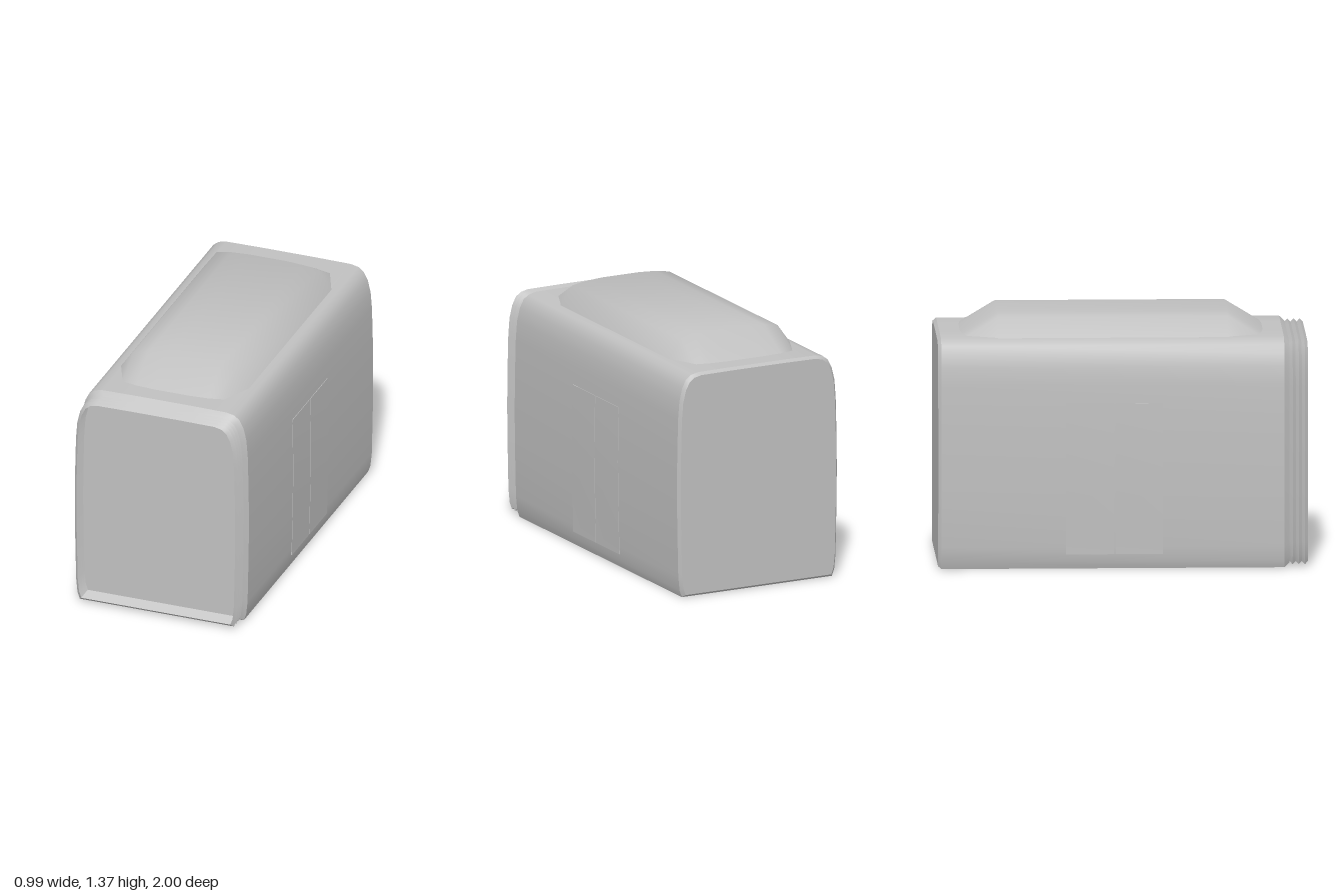
import * as THREE from 'three';
import { toCreasedNormals } from 'three/addons/utils/BufferGeometryUtils.js';

const grey = new THREE.MeshStandardMaterial({ color: 0xc0c0c0, side: THREE.DoubleSide });
grey.name = 'grey shell';

// Right half of the carriage cross-section, floor to roof
const half = [
  [0.46, 0], [0.474, 0.04], [0.482, 0.12], [0.488, 0.4], [0.49, 0.6], [0.488, 0.8], [0.483, 1.0],
  [0.475, 1.1], [0.458, 1.17], [0.435, 1.215], [0.405, 1.238], [0.36, 1.248], [0.15, 1.25],
];
const mirrored = (pts) => [...pts, ...pts.map(([x, y]) => [-x, y]).reverse()];
const outline = mirrored(half);

// Shrinks the outline towards its centre by a distance d
const inset = (d) => outline.map(([x, y]) => [x * (1 - d / 0.49), 0.625 + (y - 0.625) * (1 - d / 0.625)]);

// Skins a list of { z, pts } sections, ordered from back to front
function loft(sections, closed, crease) {
  const n = sections[0].pts.length;
  const pos = sections.flatMap(({ z, pts }) => pts.flatMap(([x, y]) => [x, y, z]));
  const index = [];
  for (let s = 0; s < sections.length - 1; s++) {
    for (let i = 0; i < (closed ? n : n - 1); i++) {
      const a = s * n + i, b = s * n + ((i + 1) % n);
      index.push(a, b, b + n, a, b + n, a + n);
    }
  }
  const g = new THREE.BufferGeometry();
  g.setAttribute('position', new THREE.Float32BufferAttribute(pos, 3));
  g.setIndex(index);
  return toCreasedNormals(g, crease);
}

export function createModel() {
  const group = new THREE.Group();
  const add = (name, geometry) => {
    const mesh = new THREE.Mesh(geometry, grey);
    mesh.name = name;
    group.add(mesh);
    return mesh;
  };

  // Long shell with small bevels at both ends
  const ends = [[-1, 0.014], [-0.982, 0], [0.872, 0], [0.9, 0.024]];
  add('carriageShell', loft(ends.map(([z, d]) => ({ z, pts: inset(d) })), true, 0.6));

  // Flat end walls
  const wall = (d) => new THREE.ShapeGeometry(new THREE.Shape(inset(d).map(([x, y]) => new THREE.Vector2(x, y))));
  add('frontWall', wall(0.024)).position.z = 0.9;
  const back = add('backWall', wall(0.014).rotateY(Math.PI));
  back.position.z = -1;

  // Open pleated gangway in front of the front wall
  const pleats = [];
  for (let i = 0; i <= 6; i++) pleats.push({ z: 0.9 + i / 60, pts: inset(i % 2 ? 0.014 : 0.03) });
  add('gangwayBellows', loft(pleats, true, 0.3));

  // Raised roof housing; its sloping ends sink into the roof
  const roof = mirrored([[0.41, 1.19], [0.295, 1.35], [0.21, 1.364], [0.11, 1.37]]);
  const lowered = (drop) => roof.map(([x, y]) => [x, y - drop]);
  add('roofHousing', loft([
    { z: -0.95, pts: lowered(0.168) },
    { z: -0.67, pts: roof },
    { z: 0.57, pts: roof },
    { z: 0.845, pts: lowered(0.168) },
  ], false, 1.1));

  // Thin sliding door leaves on both sides, following the bulge of the wall
  const widths = [[0.482, 0.08], [0.4825, 0.12], [0.4885, 0.4], [0.4905, 0.6], [0.4885, 0.8], [0.486, 0.905]];
  const doorSection = [...widths.map(([x, y]) => [x + 0.002, y]), [0.478, 0.905], [0.474, 0.08]];
  for (const side of [1, -1]) {
    for (const [name, z0, z1] of [['rearDoorLeaf', -0.31, -0.048], ['frontDoorLeaf', -0.042, 0.215]]) {
      let pts = doorSection.map(([x, y]) => [x * side, y]);
      if (side < 0) pts = pts.reverse();
      const leaf = loft([
        { z: z0, pts: pts.map(([, y]) => [0.476 * side, y]) },
        { z: z0, pts },
        { z: z1, pts },
        { z: z1, pts: pts.map(([, y]) => [0.476 * side, y]) },
      ], true, 0.5);
      add((side > 0 ? 'left' : 'right') + name[0].toUpperCase() + name.slice(1), leaf);
    }
  }
  return group;
}
